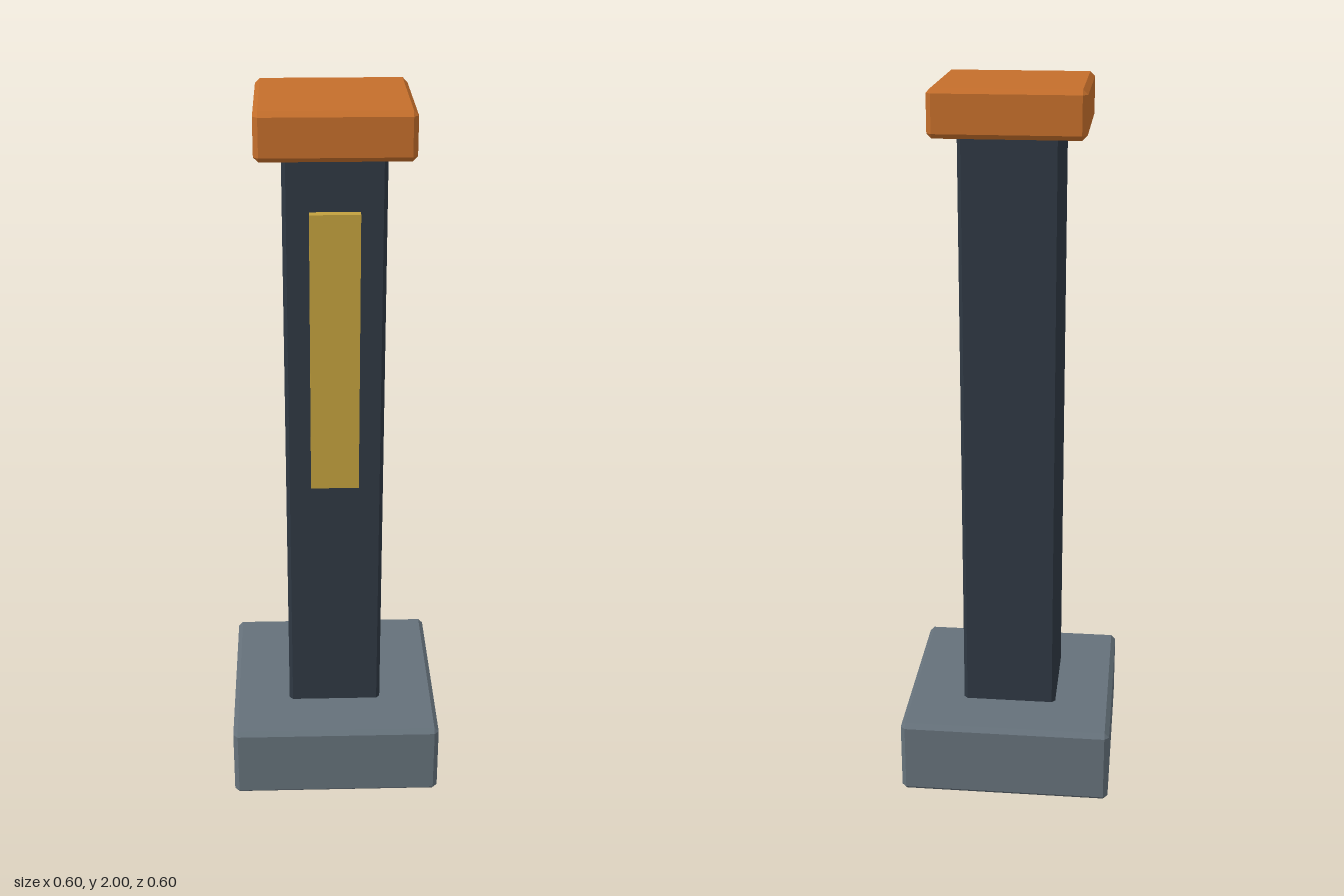
import * as THREE from 'three';
import { ConvexGeometry } from 'three/addons/geometries/ConvexGeometry.js';

// Box with flat chamfers on all edges, c = chamfer width
function chamferBox(w, h, d, c) {
  const points = [];
  for (const sx of [-1, 1]) for (const sy of [-1, 1]) for (const sz of [-1, 1]) {
    const x = w / 2, y = h / 2, z = d / 2;
    points.push(
      new THREE.Vector3(sx * x, sy * (y - c), sz * (z - c)),
      new THREE.Vector3(sx * (x - c), sy * y, sz * (z - c)),
      new THREE.Vector3(sx * (x - c), sy * (y - c), sz * z)
    );
  }
  return new ConvexGeometry(points);
}

export function createModel() {
  const group = new THREE.Group();

  const add = (name, geometry, color, bottom, top, z = 0) => {
    const material = new THREE.MeshStandardMaterial({ color, flatShading: true });
    const mesh = new THREE.Mesh(geometry, material);
    mesh.name = name;
    mesh.position.set(0, (bottom + top) / 2, z);
    group.add(mesh);
  };

  // Square foot, slim post and overhanging cap
  add('base', chamferBox(0.6, 0.22, 0.6, 0.013), 0x65717a, 0, 0.22);
  add('post', chamferBox(0.27, 1.7, 0.27, 0.01), 0x2f3843, 0.2, 1.9);
  add('cap', chamferBox(0.406, 0.126, 0.406, 0.013), 0xc46e2b, 1.874, 2);

  // Thin panel standing proud of the front face
  add('frontPanel', new THREE.BoxGeometry(0.132, 0.78, 0.03), 0xc2a03e, 0.95, 1.73, 0.146);

  return group;
}
